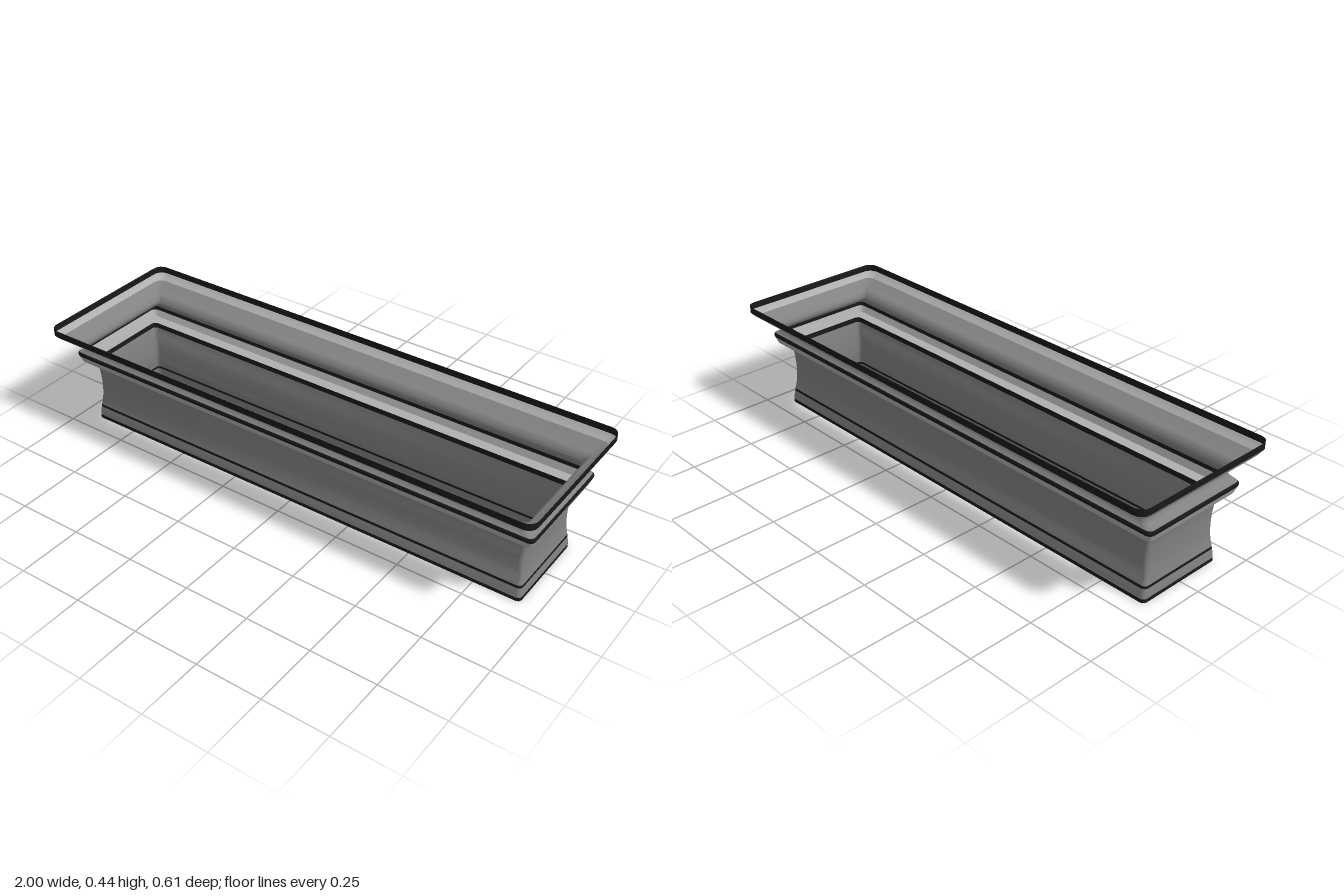
import * as THREE from 'three';
import { toCreasedNormals } from 'three/addons/utils/BufferGeometryUtils.js';

const grey = new THREE.MeshStandardMaterial({ color: 0x828282, side: THREE.DoubleSide });
const pale = new THREE.MeshStandardMaterial({ color: 0xb0b0b0, side: THREE.DoubleSide });
const dark = new THREE.MeshStandardMaterial({ color: 0x191919, side: THREE.DoubleSide });

// Rectangular ring as [x, z] pairs; corners grow rounder towards the wide rim
function ring(hx, hz, steps = 4) {
  const radius = 0.016 + Math.max(0, hz - 0.2) * 0.18;
  const points = [];
  const corners = [[1, 1], [-1, 1], [-1, -1], [1, -1]];
  corners.forEach(([sx, sz], c) => {
    for (let i = 0; i <= steps; i++) {
      const a = (c + i / steps) * Math.PI / 2;
      points.push([sx * (hx - radius) + radius * Math.cos(a), sz * (hz - radius) + radius * Math.sin(a)]);
    }
  });
  return points;
}

// Open shell through stacked rings; profile rows are [half x, half z, y], bottom to top
function shell(name, material, profile) {
  const positions = [], index = [];
  let n = 0;
  for (const [hx, hz, y] of profile) {
    const points = ring(hx, hz);
    n = points.length;
    for (const [x, z] of points) positions.push(x, y, z);
  }
  for (let i = 0; i < profile.length - 1; i++) {
    for (let j = 0; j < n; j++) {
      const k = (j + 1) % n;
      const a = i * n + j, b = i * n + k, c = a + n, d = b + n;
      index.push(a, c, b, b, c, d);
    }
  }
  const geometry = new THREE.BufferGeometry();
  geometry.setAttribute('position', new THREE.Float32BufferAttribute(positions, 3));
  geometry.setIndex(index);
  const mesh = new THREE.Mesh(toCreasedNormals(geometry, 0.7), material);
  mesh.name = name;
  return mesh;
}

// Smooth a profile with a spline
function smooth(rows, count) {
  const curve = new THREE.CatmullRomCurve3(rows.map(r => new THREE.Vector3(...r)));
  return curve.getPoints(count).map(p => p.toArray());
}

export function createModel() {
  const model = new THREE.Group();
  model.name = 'hollowPlinth';

  model.add(
    // Flared foot with its dark edges
    shell('footTrim', dark, [[0.926, 0.178, 0], [0.926, 0.178, 0.014]]),
    shell('foot', grey, smooth([[0.926, 0.178, 0.014], [0.925, 0.1755, 0.032], [0.923, 0.172, 0.049]], 4)),
    shell('footGroove', dark, [[0.923, 0.172, 0.049], [0.922, 0.171, 0.059]]),

    // Gently waisted wall
    shell('wall', grey, smooth([
      [0.922, 0.171, 0.059], [0.919, 0.167, 0.08], [0.916, 0.164, 0.11],
      [0.915, 0.163, 0.15], [0.917, 0.165, 0.2], [0.922, 0.169, 0.243],
    ], 16)),
    shell('wallTrim', dark, [[0.922, 0.169, 0.243], [0.923, 0.17, 0.263]]),

    // Paler ledge and its dark bead
    shell('ledge', pale, [[0.923, 0.17, 0.263], [0.957, 0.211, 0.263], [0.966, 0.22, 0.288]]),
    shell('beadTrim', dark, smooth([[0.966, 0.22, 0.288], [0.968, 0.222, 0.297], [0.963, 0.218, 0.305]], 5)),

    // Concave neck sweeping out to the rim
    shell('neck', grey, smooth([
      [0.963, 0.218, 0.305], [0.938, 0.209, 0.318], [0.93, 0.205, 0.335],
      [0.938, 0.217, 0.358], [0.96, 0.248, 0.371], [0.985, 0.284, 0.387],
    ], 24)),
    shell('rimCove', pale, smooth([[0.985, 0.284, 0.387], [0.996, 0.301, 0.402], [1, 0.307, 0.409]], 6)),
    shell('rimTrim', dark, [[1, 0.307, 0.409], [1, 0.307, 0.435]]),
  );
  return model;
}
